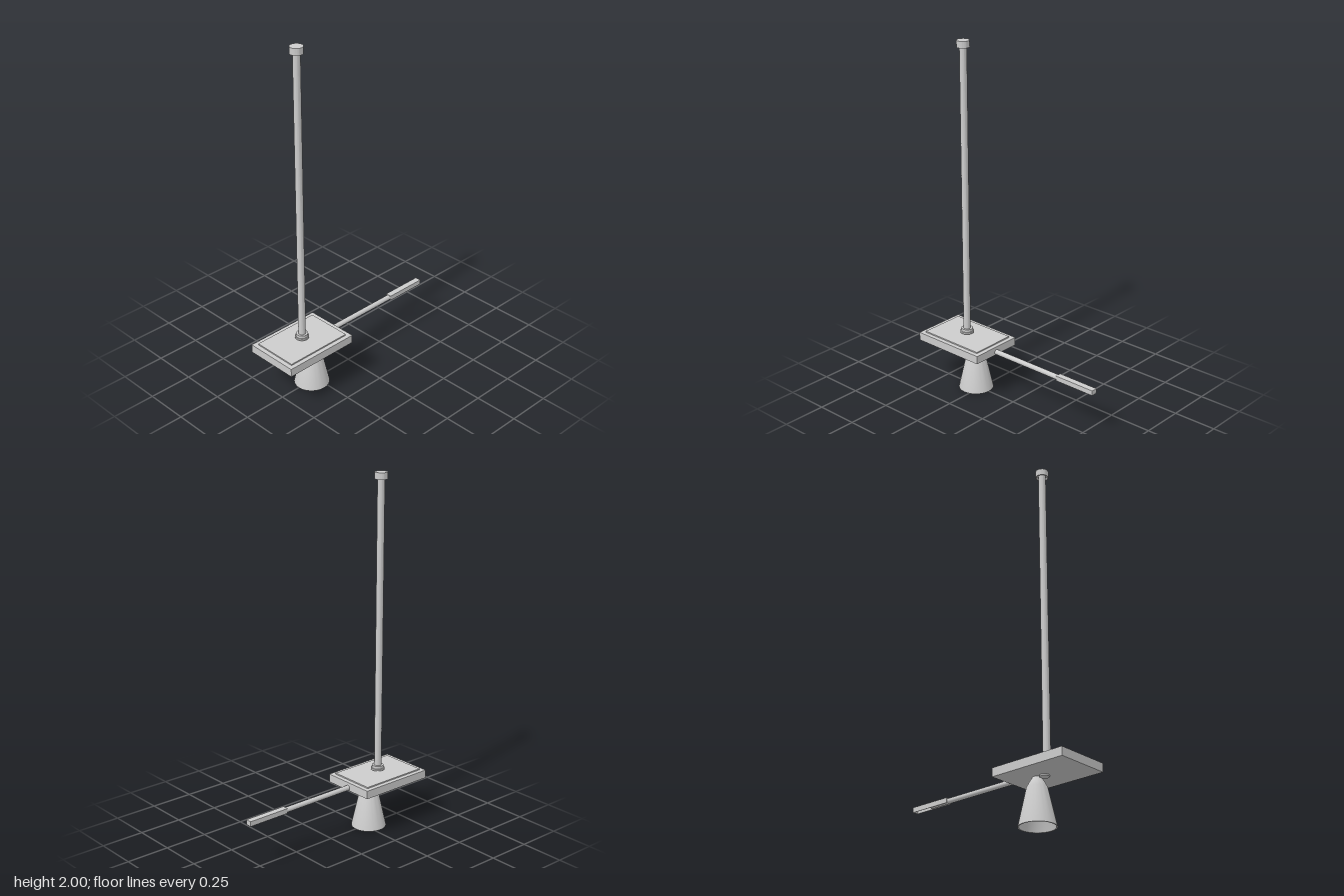
import * as THREE from 'three';
import { toCreasedNormals } from 'three/addons/utils/BufferGeometryUtils.js';

export function createModel() {
  const model = new THREE.Group();
  const grey = new THREE.MeshStandardMaterial({ color: 0xcccccc, side: THREE.DoubleSide });
  grey.name = 'light grey';

  const add = (name, geometry, x, y, z, parent = model) => {
    const mesh = new THREE.Mesh(geometry, grey);
    mesh.name = name;
    mesh.position.set(x, y, z);
    parent.add(mesh);
    return mesh;
  };
  const box = (name, w, h, d, x, y, z, parent) =>
    add(name, new THREE.BoxGeometry(w, h, d), x, y, z, parent);
  // Profile of [radius, height] pairs, turned around a vertical axis
  const turned = (name, profile, x) => {
    const points = profile.map(([r, y]) => new THREE.Vector2(r, y));
    return add(name, toCreasedNormals(new THREE.LatheGeometry(points, 48), 0.4), x, 0, 0);
  };

  // Slab with a slightly raised top panel
  box('slab', 0.447, 0.047, 0.314, -0.347, 0.2775, 0);
  box('raisedPanel', 0.396, 0.008, 0.264, -0.347, 0.304, 0);
  add('undersideDisc', new THREE.CylinderGeometry(0.026, 0.026, 0.008, 32), -0.33, 0.25, 0);

  // Tall post hovering just above the panel, with stepped foot and recessed cap
  turned('post', [
    [0, 0.322], [0.038, 0.322], [0.038, 0.332], [0.032, 0.332], [0.032, 0.348],
    [0.02, 0.348], [0.02, 1.975], [0.03, 1.975], [0.03, 1.963], [0.035, 1.963],
    [0.035, 2], [0, 2],
  ], -0.347);

  // Hollow bell under the slab
  turned('bell', [
    [0, 0.24], [0.016, 0.24], [0.047, 0.195], [0.092, 0], [0.098, 0],
    [0.054, 0.2], [0.041, 0.225], [0.022, 0.256], [0, 0.256],
  ], -0.281);

  // Round arm reaching into the handle
  const rod = add('armRod', new THREE.CylinderGeometry(0.0145, 0.0145, 0.58, 32), 0.155, 0.27, 0);
  rod.rotation.z = -Math.PI / 2;

  // Channel-shaped handle, open underneath and closed at its far end
  const handle = new THREE.Group();
  handle.name = 'handle';
  model.add(handle);
  box('handleTop', 0.248, 0.004, 0.035, 0.446, 0.2835, 0, handle);
  for (const side of [-1, 1]) {
    box('handleSide', 0.248, 0.026, 0.003, 0.446, 0.2705, side * 0.016, handle);
  }
  box('handleEnd', 0.004, 0.026, 0.032, 0.568, 0.2705, 0, handle);

  return model;
}
